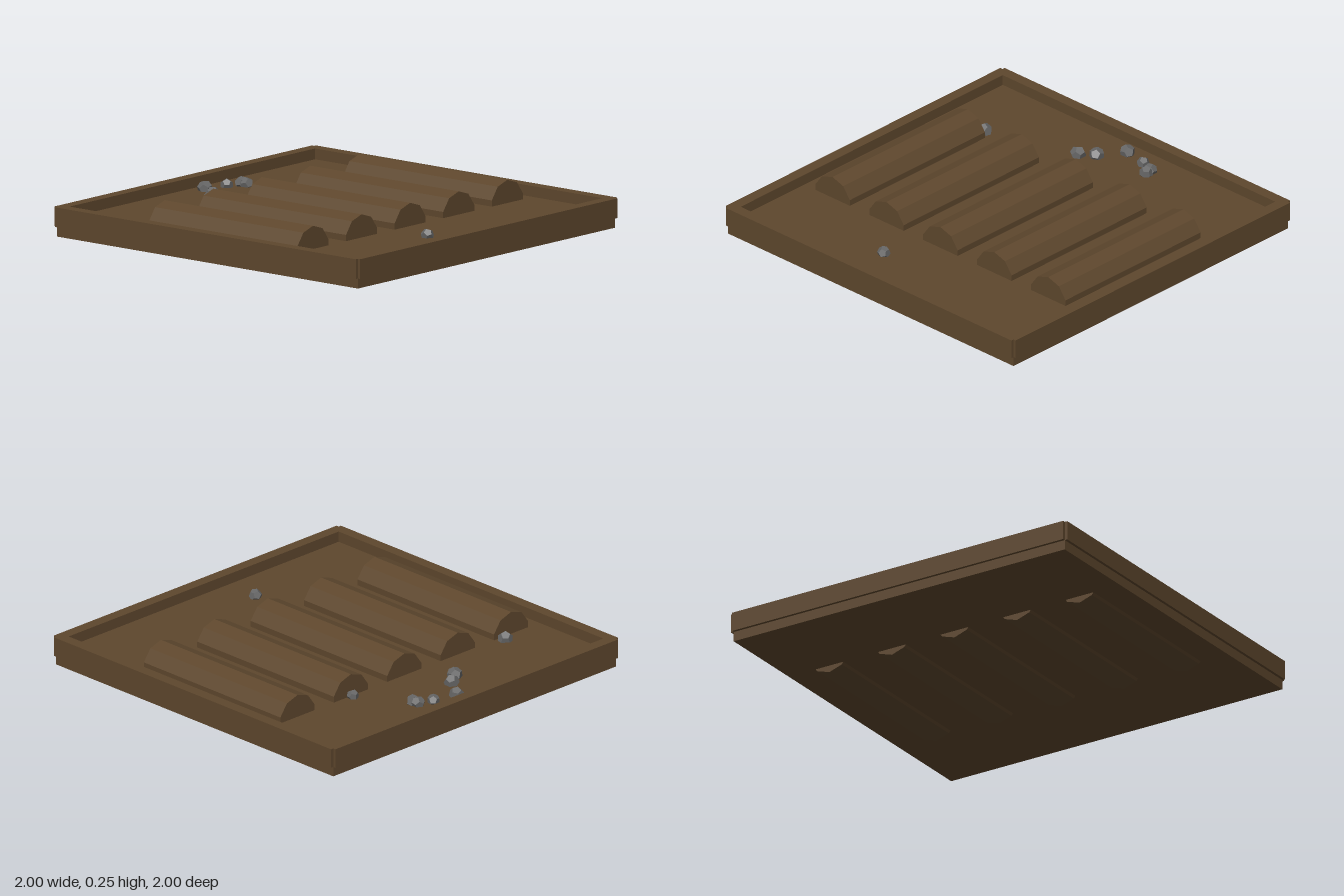
import * as THREE from 'three';

export function createModel() {
  const group = new THREE.Group();
  const soil = new THREE.MeshStandardMaterial({ color: 0x5e472d, flatShading: true });
  soil.name = 'soilBrown';
  const stone = new THREE.MeshStandardMaterial({ color: 0x666666, flatShading: true });
  stone.name = 'stoneGrey';

  function add(name, geometry, material, x, y, z) {
    const mesh = new THREE.Mesh(geometry, material);
    mesh.name = name;
    mesh.position.set(x, y, z);
    group.add(mesh);
    return mesh;
  }

  // Ground slab
  add('groundSlab', new THREE.BoxGeometry(1.97, 0.096, 1.97), soil, 0, 0.078, 0);

  // Raised border: four boards, slightly proud of the slab
  for (const side of [-1, 1]) {
    const name = side > 0 ? ['frontBorder', 'leftBorder'] : ['backBorder', 'rightBorder'];
    add(name[0], new THREE.BoxGeometry(1.97, 0.1, 0.06), soil, 0, 0.131, side * 0.97);
    add(name[1], new THREE.BoxGeometry(0.06, 0.1, 1.97), soil, side * 0.97, 0.131, 0);
  }

  // Ten-sided furrow ridges with a flat facet on top, sunk through the slab
  const ridge = new THREE.CylinderGeometry(0.125, 0.125, 0.97, 10);
  ridge.rotateY(Math.PI / 10);
  ridge.rotateZ(Math.PI / 2);
  for (let i = -2; i <= 2; i++) {
    add('furrowRidge' + (i + 3), ridge, soil, 0, 0.119, i * 0.372);
  }

  // Scattered pebbles: x, z, radius
  const pebbles = [
    [-0.225, -0.627, 0.031], [-0.507, -0.38, 0.031], [-0.80, -0.213, 0.036],
    [-0.768, -0.215, 0.036], [-0.83, -0.135, 0.033], [-0.857, 0, 0.04],
    [-0.73, 0.09, 0.04], [-0.675, 0.165, 0.041], [-0.525, 0.665, 0.039], [0.73, 0.155, 0.034],
  ];
  const pebble = new THREE.DodecahedronGeometry(1, 0);
  pebbles.forEach(([x, z, r], i) => {
    const mesh = add('pebble' + (i + 1), pebble, stone, x, 0.138, z);
    mesh.scale.setScalar(r);
    mesh.rotation.set(i * 1.3, i * 2.1, i * 0.7);
  });

  return group;
}
